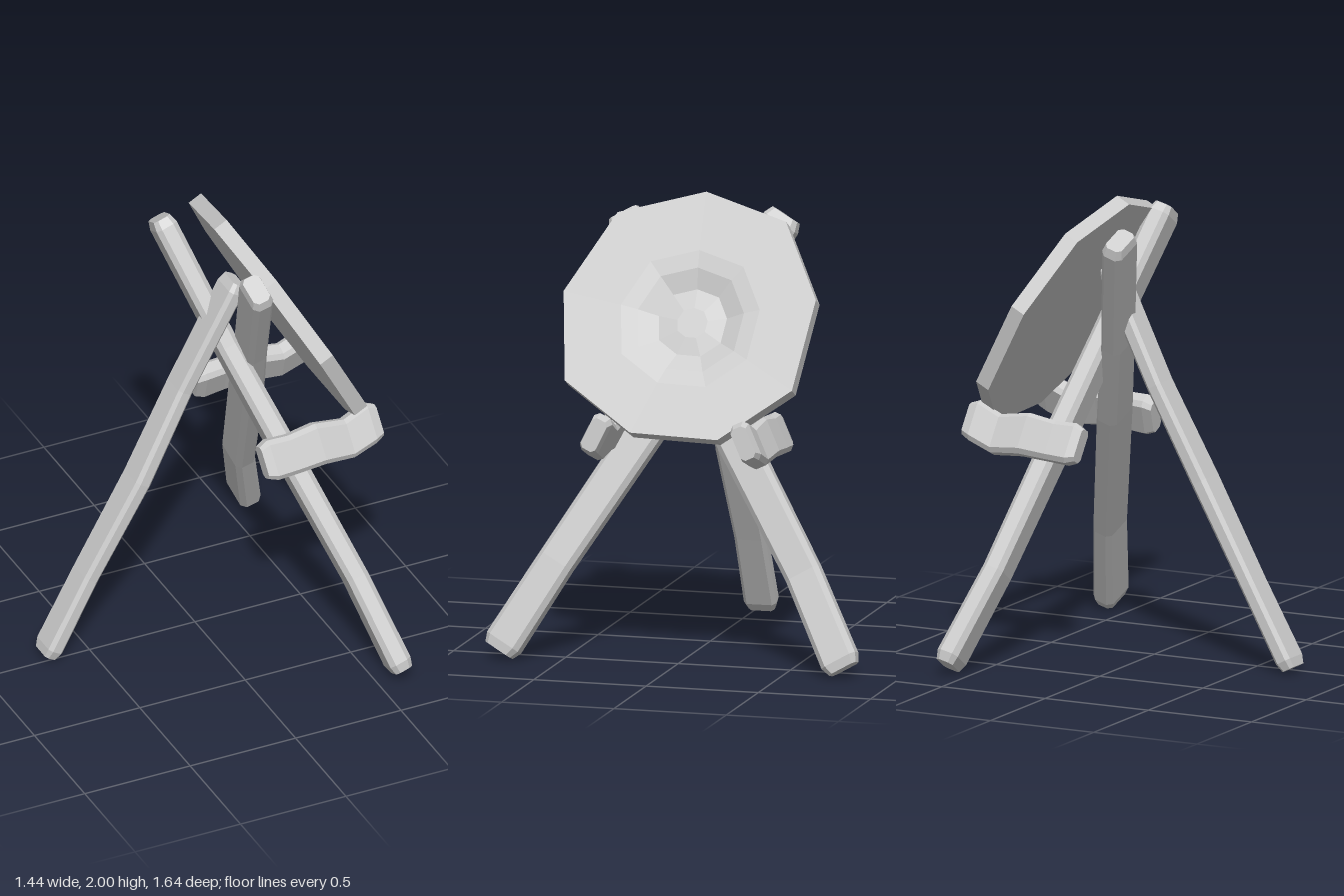
import * as THREE from 'three';

const V = (x, y, z) => new THREE.Vector3(x, y, z);
const material = new THREE.MeshStandardMaterial({ color: 0xcccccc, flatShading: true });

// Skins equal-sized loops of points; both ends are closed with a fan
function loft(name, rings) {
  const n = rings[0].length, pos = [];
  const tri = (...pts) => pts.forEach((p) => pos.push(p.x, p.y, p.z));
  const centre = (ring) => ring.reduce((s, p) => s.add(p), V(0, 0, 0)).divideScalar(n);
  for (let r = 0; r < rings.length - 1; r++) {
    const a = rings[r], b = rings[r + 1];
    for (let i = 0; i < n; i++) {
      const j = (i + 1) % n;
      tri(a[i], a[j], b[j]);
      tri(a[i], b[j], b[i]);
    }
  }
  const first = rings[0], last = rings[rings.length - 1];
  const c0 = centre(first), c1 = centre(last);
  for (let i = 0; i < n; i++) {
    const j = (i + 1) % n;
    tri(c0, first[j], first[i]);
    tri(c1, last[i], last[j]);
  }
  const geometry = new THREE.BufferGeometry();
  geometry.setAttribute('position', new THREE.Float32BufferAttribute(pos, 3));
  geometry.computeVertexNormals();
  const mesh = new THREE.Mesh(geometry, material);
  mesh.name = name;
  return mesh;
}

// Rough-hewn timber: chamfered rectangle swept along points, with bevelled ends
function beam(name, points, width, thick, widthDir) {
  const end = points.length - 1;
  const d = points[end].clone().sub(points[0]).normalize();
  const u = widthDir.clone().addScaledVector(d, -widthDir.dot(d)).normalize();
  const v = d.clone().cross(u);
  const w = width / 2, t = thick / 2, c = thick * 0.22;
  const section = [[w, -t + c], [w, t - c], [w - c, t], [-w + c, t],
    [-w, t - c], [-w, -t + c], [-w + c, -t], [w - c, -t]];
  const ring = (p, s) => section.map(([a, b]) =>
    p.clone().addScaledVector(u, a * s).addScaledVector(v, b * s));
  const rings = [];
  points.forEach((p, i) => {
    if (i === 0) rings.push(ring(p, 0.8), ring(p.clone().addScaledVector(d, 0.04), 1));
    else if (i === end) rings.push(ring(p.clone().addScaledVector(d, -0.04), 1), ring(p, 0.8));
    else rings.push(ring(p, i % 2 ? 0.96 : 1.02));
  });
  return loft(name, rings);
}

export function createModel() {
  const group = new THREE.Group();

  // Tilted nine-sided board, outline as [z, y] on its sloping face
  const outline = [[-0.03, 2.0], [0.35, 1.9], [0.54, 1.58], [0.48, 1.23], [0.16, 1.04],
    [-0.23, 1.03], [-0.53, 1.24], [-0.58, 1.6], [-0.4, 1.9]];
  const onFace = (z, y) => V(0.165 + (2 - y) * 0.55, y, z);
  const normal = V(0.876, 0.482, 0);
  const middle = onFace(-0.04, 1.49);
  // [scale, depth behind the face]: back, rim, then the shallow central dent
  const profile = [[1, 0.067], [1, 0], [0.55, 0.003], [0.42, 0.012], [0.27, 0.045], [0.12, 0.035]];
  group.add(loft('board', profile.map(([s, depth]) => outline.map(([z, y]) =>
    middle.clone().lerp(onFace(z, y), s).addScaledVector(normal, -depth)))));

  // Rear leg
  group.add(beam('rearLeg', [V(-0.69, 0.02, -0.035), V(-0.5, 0.37, -0.038), V(-0.26, 0.8, -0.028),
    V(-0.05, 1.2, -0.045), V(0.2, 1.69, -0.025)], 0.145, 0.075, V(0, 0, 1)));

  // Two crossing front legs
  group.add(beam('leftLeg', [V(0.615, 0.04, 0.765), V(0.5, 0.42, 0.54), V(0.29, 1.0, 0.185),
    V(0.16, 1.36, -0.03), V(-0.01, 1.88, -0.335)], 0.165, 0.1, V(0, 0, 1)));
  group.add(beam('rightLeg', [V(0.595, 0.04, -0.765), V(0.47, 0.42, -0.55), V(0.335, 1.0, -0.19),
    V(0.25, 1.36, 0.03), V(0.125, 1.88, 0.35)], 0.165, 0.1, V(0, 0, 1)));

  // Bent pegs that hold the board, mirrored about its centre line
  for (const side of [1, -1]) {
    const path = [[0.165, 0.965, 0.33], [0.3, 0.975, 0.335], [0.43, 0.99, 0.33],
      [0.57, 0.975, 0.325], [0.715, 1.025, 0.32]];
    group.add(beam(side > 0 ? 'leftPeg' : 'rightPeg',
      path.map(([x, y, z]) => V(x, y, z * side + (side > 0 ? -0.005 : -0.03))),
      0.18, 0.09, V(0, 0.18, -0.085 * side)));
  }
  return group;
}
